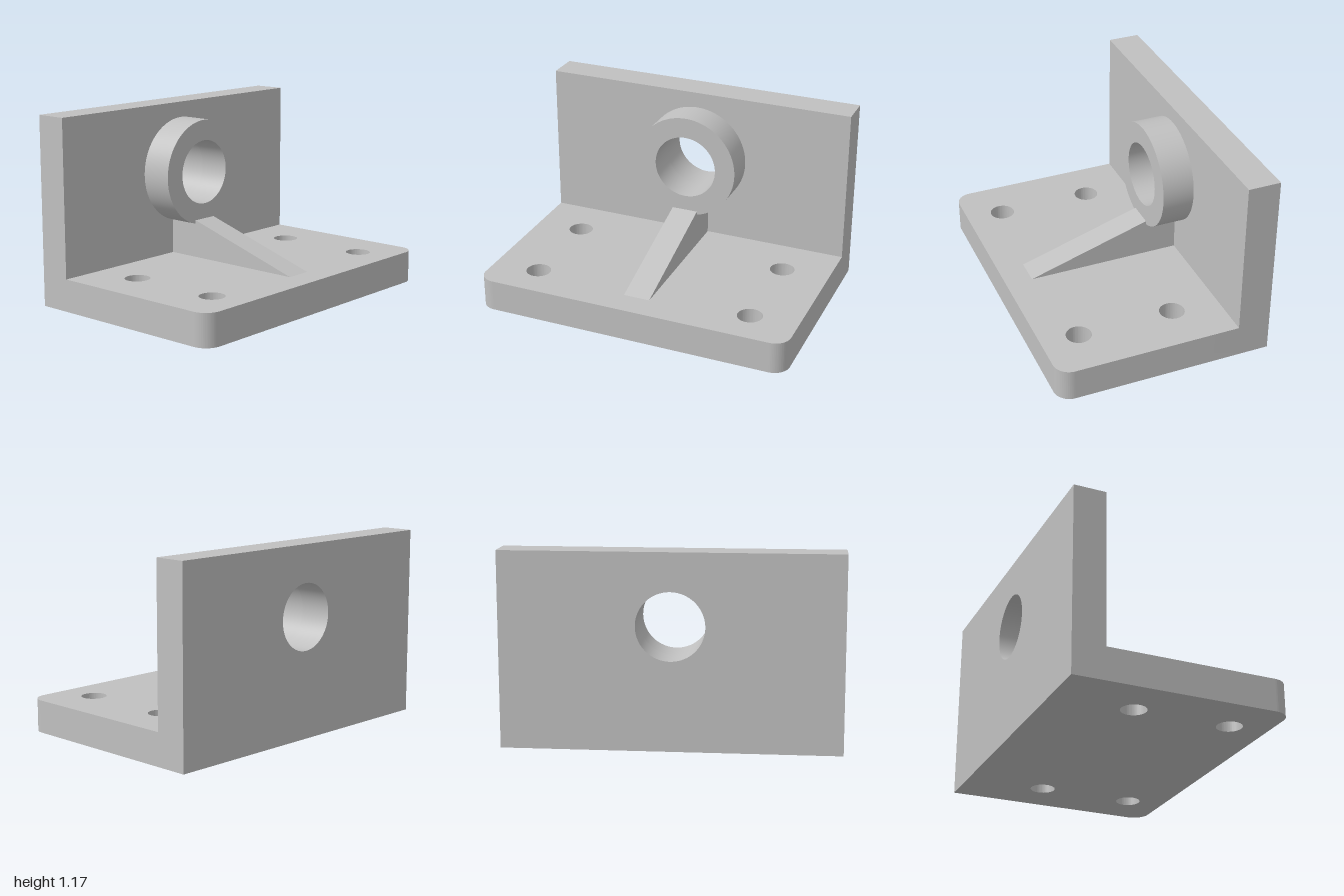
import * as THREE from 'three';
import { toCreasedNormals } from 'three/addons/utils/BufferGeometryUtils.js';

export function createModel() {
  const model = new THREE.Group();
  model.name = 'bearingBracket';
  const steel = new THREE.MeshStandardMaterial({ color: 0xc0c0c0 });
  steel.name = 'light grey steel';

  const backZ = -0.667, wallZ = -0.467, bossZ = -0.267, frontZ = 0.667;
  const baseTop = 0.2, wallTop = 1.167;
  const boreY = 0.737, boreR = 0.202, bossR = 0.332;

  // Extrude a shape with sharp edges and smooth curves
  const extrude = (shape, depth) => toCreasedNormals(
    new THREE.ExtrudeGeometry(shape, { depth, bevelEnabled: false, curveSegments: 48 }), 0.5);

  const addHole = (shape, x, y, r) =>
    shape.holes.push(new THREE.Path().absarc(x, y, r, 0, Math.PI * 2, true));

  const add = (name, geometry) => {
    const mesh = new THREE.Mesh(geometry, steel);
    mesh.name = name;
    model.add(mesh);
    return mesh;
  };

  // Base plate: drawn in plan (shape y = -z), front corners rounded
  const c = 0.1;
  const plan = new THREE.Shape();
  plan.moveTo(1, -backZ);
  plan.lineTo(-1, -backZ);
  plan.lineTo(-1, -frontZ + c);
  plan.absarc(-1 + c, -frontZ + c, c, Math.PI, Math.PI * 1.5, false);
  plan.lineTo(1 - c, -frontZ);
  plan.absarc(1 - c, -frontZ + c, c, -Math.PI / 2, 0, false);
  plan.closePath();
  for (const x of [-0.7, 0.7])
    for (const z of [-0.17, 0.43]) addHole(plan, x, -z, 0.077);
  add('basePlate', extrude(plan, baseTop).rotateX(-Math.PI / 2));

  // Upright wall with the bore through it
  const wall = new THREE.Shape([
    new THREE.Vector2(-1, baseTop), new THREE.Vector2(1, baseTop),
    new THREE.Vector2(1, wallTop), new THREE.Vector2(-1, wallTop),
  ]);
  addHole(wall, 0, boreY, boreR);
  add('uprightWall', extrude(wall, wallZ - backZ)).position.z = backZ;

  // Ring-shaped boss on the wall's front
  const ring = new THREE.Shape().absarc(0, boreY, bossR, 0, Math.PI * 2, false);
  addHole(ring, 0, boreY, boreR);
  add('bearingBoss', extrude(ring, bossZ - wallZ)).position.z = wallZ;

  // Sloping rib: side profile (shape x = z), running under the boss to the wall
  const ribWidth = 0.167;
  const rib = new THREE.Shape([
    new THREE.Vector2(0.5, baseTop), new THREE.Vector2(bossZ, 0.438),
    new THREE.Vector2(wallZ, 0.438), new THREE.Vector2(wallZ, baseTop),
  ]);
  add('supportRib', toCreasedNormals(
    extrude(rib, ribWidth).rotateY(-Math.PI / 2).translate(ribWidth / 2, 0, 0), 0.2));

  return model;
}
